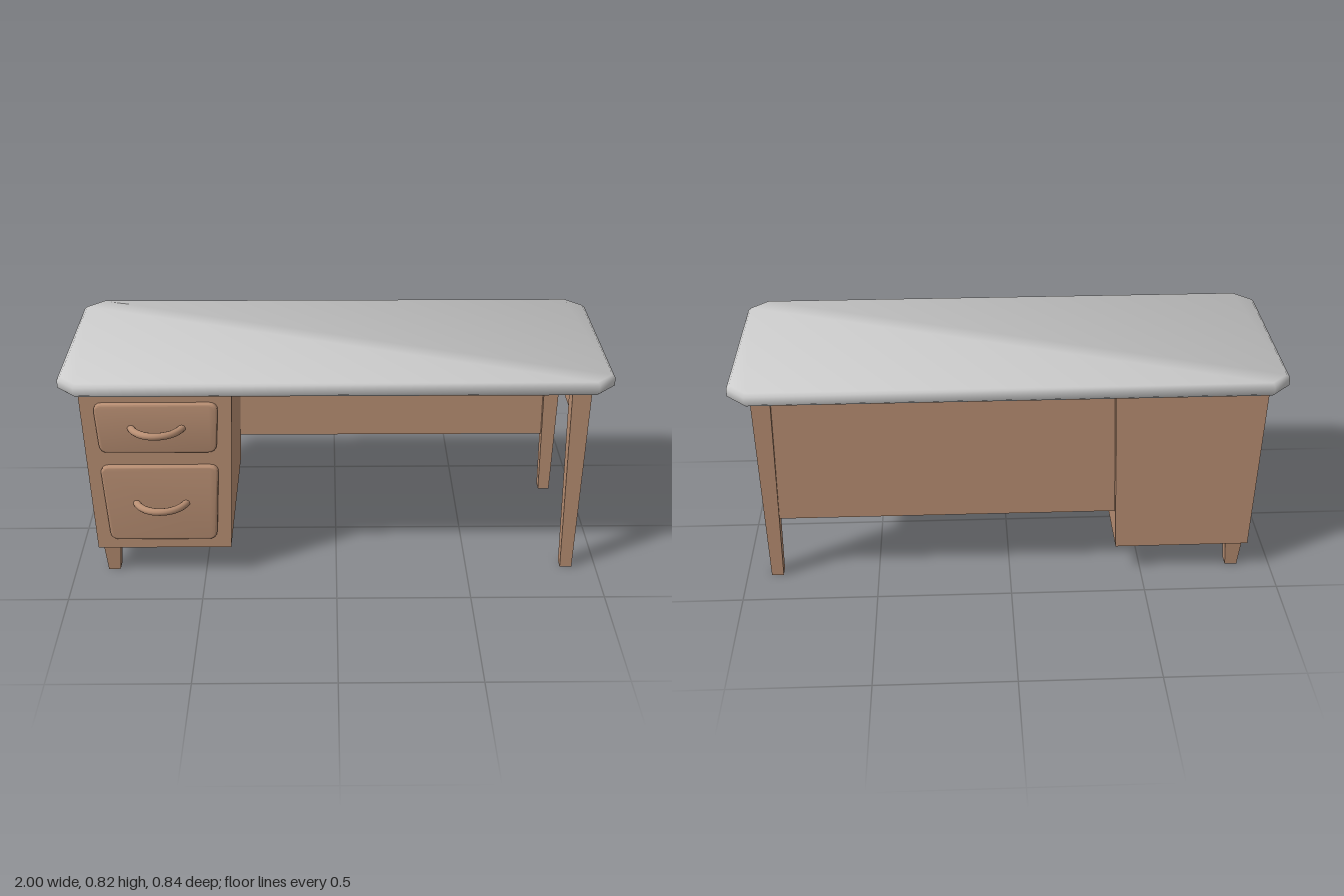
import * as THREE from 'three';
import { toCreasedNormals } from 'three/addons/utils/BufferGeometryUtils.js';

const wood = new THREE.MeshStandardMaterial({ color: 0xb98f73 });
const grey = new THREE.MeshStandardMaterial({ color: 0xcccccc });

// Box between two levels; each rectangle is [x0, x1, z0, z1]
function taperedBox(y0, y1, low, high) {
  const g = new THREE.BoxGeometry(1, 1, 1);
  const p = g.attributes.position;
  for (let i = 0; i < p.count; i++) {
    const r = p.getY(i) > 0 ? high : low;
    p.setXYZ(i, p.getX(i) > 0 ? r[1] : r[0], p.getY(i) > 0 ? y1 : y0, p.getZ(i) > 0 ? r[3] : r[2]);
  }
  g.computeVertexNormals();
  return g;
}

// Octagonal outline of the top, moved inwards by d
function outline(d) {
  const a = 1 - d, b = 0.396 - d, c = 0.068 - d * (2 - Math.SQRT2);
  return [[c - a, b], [a - c, b], [a, b - c], [a, c - b], [a - c, -b], [c - a, -b], [-a, c - b], [-a, b - c]];
}

// Slab with softly shaded rim: rings of [height, inset, upward part of normal]
function tabletopGeometry() {
  const rings = [[0.772, 0.012, -0.85], [0.783, 0, -0.35], [0.812, 0, 0.35], [0.823, 0.012, 0.85]];
  const pos = [], nor = [], idx = [];
  const outer = outline(0), inner = outline(0.01);
  for (const [y, d, ny] of rings) {
    outline(d).forEach(([x, z], i) => {
      const out = new THREE.Vector2(outer[i][0] - inner[i][0], outer[i][1] - inner[i][1]).normalize();
      const h = Math.sqrt(1 - ny * ny);
      pos.push(x, y, z - 0.025);
      nor.push(out.x * h, ny, out.y * h);
    });
  }
  for (let r = 0; r < 3; r++) {
    for (let i = 0; i < 8; i++) {
      const a = r * 8 + i, b = r * 8 + (i + 1) % 8;
      idx.push(a, b, b + 8, a, b + 8, a + 8);
    }
  }
  for (let i = 0; i < 3; i++) {
    const [a, b, c, d] = [i, i + 1, 6 - i, 7 - i];
    idx.push(a, c, b, a, d, c, a + 24, b + 24, c + 24, a + 24, c + 24, d + 24);
  }
  const g = new THREE.BufferGeometry();
  g.setAttribute('position', new THREE.Float32BufferAttribute(pos, 3));
  g.setAttribute('normal', new THREE.Float32BufferAttribute(nor, 3));
  g.setIndex(idx);
  return g;
}

// Tapered drawer front with rounded corners and a bevelled edge
function drawerFront(y0, y1, halfLow, halfHigh) {
  const bevel = 0.008, r = 0.024;
  const c = [[-halfLow + bevel, y0 + bevel], [halfLow - bevel, y0 + bevel],
    [halfHigh - bevel, y1 - bevel], [-halfHigh + bevel, y1 - bevel]].map(([x, y]) => new THREE.Vector2(x, y));
  const towards = (a, b) => b.clone().sub(a).setLength(r).add(a);
  const s = new THREE.Shape();
  c.forEach((p, i) => {
    const start = towards(p, c[(i + 3) % 4]), end = towards(p, c[(i + 1) % 4]);
    if (i === 0) s.moveTo(start.x, start.y);
    else s.lineTo(start.x, start.y);
    s.quadraticCurveTo(p.x, p.y, end.x, end.y);
  });
  s.closePath();
  const g = new THREE.ExtrudeGeometry(s, {
    depth: 0.02, bevelEnabled: true, bevelSize: bevel, bevelThickness: bevel, bevelSegments: 3, curveSegments: 4,
  });
  g.translate(0, 0, 0.317);
  return toCreasedNormals(g, 0.7);
}

export function createModel() {
  const desk = new THREE.Group();
  desk.name = 'desk';
  const add = (name, geometry, material = wood, parent = desk) => {
    const m = new THREE.Mesh(geometry, material);
    m.name = name;
    parent.add(m);
    return m;
  };

  add('tabletop', tabletopGeometry(), grey);

  // Drawer cabinet, narrower at the bottom
  add('cabinet', taperedBox(0.117, 0.776, [-0.903, -0.4, -0.379, 0.326], [-0.926, -0.375, -0.379, 0.326]));

  // Short feet under the cabinet's outer side and tall legs at the open end
  for (const [side, z] of [['front', 0.274], ['back', -0.325]]) {
    add(side + 'Foot', taperedBox(0, 0.118, [-0.877, -0.832, z - 0.022, z + 0.022],
      [-0.887, -0.822, z - 0.033, z + 0.033]));
    add(side + 'Leg', taperedBox(0, 0.776, [0.864, 0.909, z - 0.022, z + 0.022],
      [0.85, 0.921, z - 0.035, z + 0.035]));
  }

  // Back panel and the rail joining the tall legs
  add('backPanel', taperedBox(0.256, 0.776, [-0.42, 0.88, -0.345, -0.32], [-0.42, 0.88, -0.345, -0.32]));
  add('sideRail', taperedBox(0.632, 0.776, [0.868, 0.898, -0.3, 0.25], [0.868, 0.898, -0.3, 0.25]));

  // Drawer fronts, each with a bowed pull
  const drawers = [['upperDrawer', 0.535, 0.733, 0.213, 0.224], ['lowerDrawer', 0.163, 0.478, 0.2, 0.217]];
  for (const [name, y0, y1, low, high] of drawers) {
    const drawer = new THREE.Group();
    drawer.name = name;
    drawer.position.x = -0.65;
    desk.add(drawer);
    add(name + 'Front', drawerFront(y0, y1, low, high), wood, drawer);
    const arc = [];
    for (let i = 0; i <= 8; i++) {
      const t = THREE.MathUtils.degToRad(162 - i * 18);
      arc.push(new THREE.Vector3(-Math.cos(t) * 0.098, 0, 0.31 + Math.sin(t) * 0.098));
    }
    const pull = new THREE.TubeGeometry(new THREE.CatmullRomCurve3(arc), 24, 0.0135, 10);
    add(name + 'Handle', pull, wood, drawer).position.y = name === 'upperDrawer' ? 0.637 : 0.323;
  }
  return desk;
}
